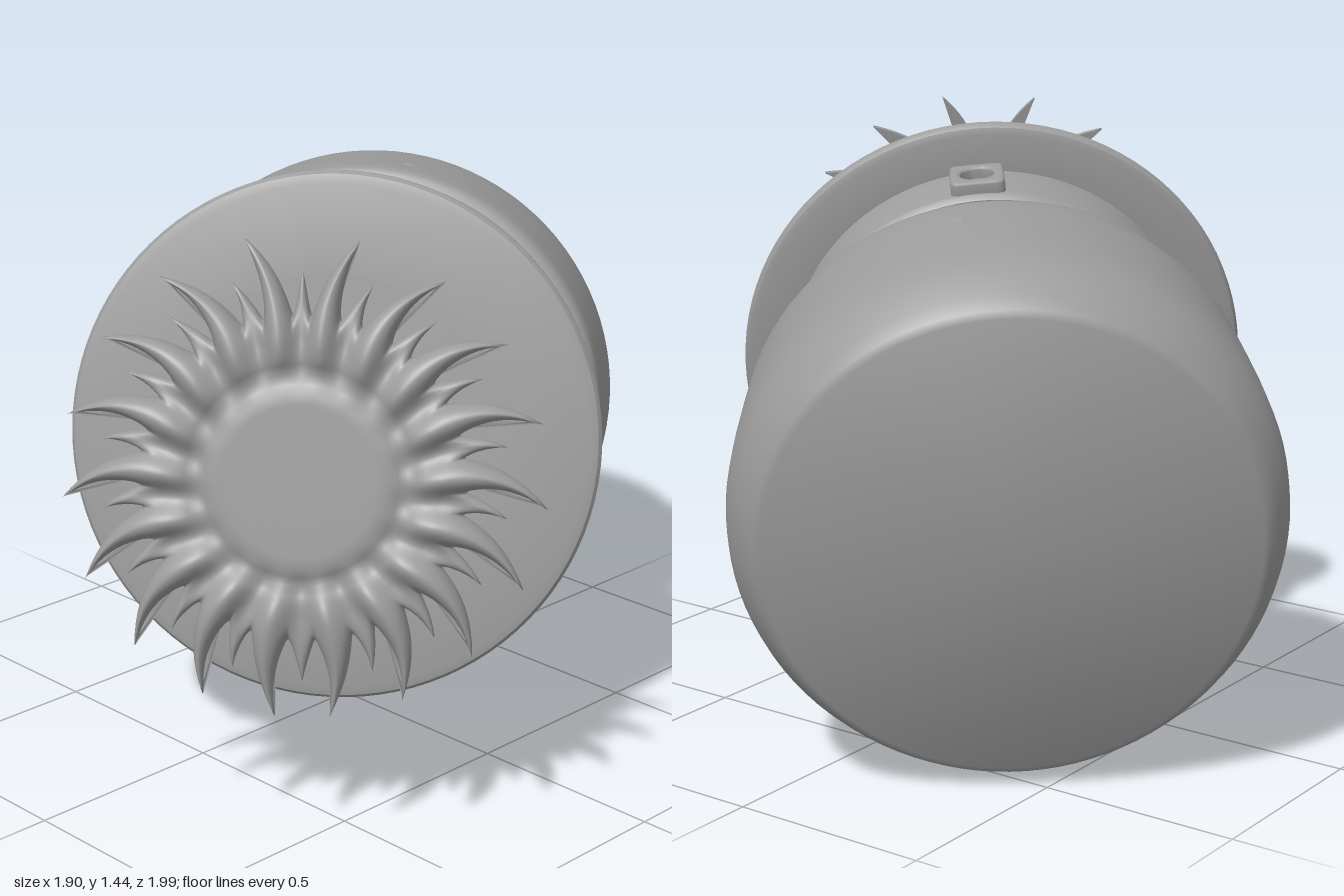
import * as THREE from 'three';
import { toCreasedNormals } from 'three/addons/utils/BufferGeometryUtils.js';

const DEG = Math.PI / 180;
const grey = new THREE.MeshStandardMaterial({ color: 0x9c9c9c });
grey.name = 'plain grey';

function mesh(name, geometry) {
  const m = new THREE.Mesh(geometry, grey);
  m.name = name;
  return m;
}

// Turned part about the local z axis, from [radius, z] points
function turned(name, profile) {
  const g = new THREE.LatheGeometry(profile.map(([r, z]) => new THREE.Vector2(r, z)), 96);
  g.rotateX(Math.PI / 2);
  return mesh(name, toCreasedNormals(g, 35 * DEG));
}

// Ring whose inner wall has three slots between two angles (degrees)
function slottedRing(name, front, back, slotFrom, slotTo) {
  const shape = new THREE.Shape();
  shape.absarc(0, 0, 0.6, 0, Math.PI * 2);
  const pts = [];
  for (let k = 0; k < 3; k++) {
    const arc = (from, to, r) => {
      for (let i = 0; i <= 24; i++) {
        const a = (from + (to - from) * i / 24 + 120 * k) * DEG;
        pts.push(new THREE.Vector2(r * Math.cos(a), r * Math.sin(a)));
      }
    };
    arc(slotFrom, slotTo, 0.588);
    arc(slotTo, slotFrom + 120, 0.545);
  }
  shape.holes.push(new THREE.Path(pts));
  const g = new THREE.ExtrudeGeometry(shape, { depth: front - back, bevelEnabled: false, curveSegments: 48 });
  g.translate(0, 0, back);
  return mesh(name, toCreasedNormals(g, 35 * DEG));
}

// Rounded square plate with a round dimple, facing outward on the lid collar
function latchPad() {
  const w = 0.06, c = 0.014;
  const s = new THREE.Shape();
  s.moveTo(-w + c, -w);
  s.lineTo(w - c, -w);
  s.quadraticCurveTo(w, -w, w, -w + c);
  s.lineTo(w, w - c);
  s.quadraticCurveTo(w, w, w - c, w);
  s.lineTo(-w + c, w);
  s.quadraticCurveTo(-w, w, -w, w - c);
  s.lineTo(-w, -w + c);
  s.quadraticCurveTo(-w, -w, -w + c, -w);
  const hole = new THREE.Path();
  hole.absarc(0, 0, 0.05, 0, Math.PI * 2, true);
  s.holes.push(hole);
  const g = new THREE.ExtrudeGeometry(s, {
    depth: 0.045, bevelThickness: 0.008, bevelSize: 0.008, bevelSegments: 3, curveSegments: 16 });
  g.rotateX(-Math.PI / 2);
  g.translate(0, 0.502, -0.125);
  return mesh('latchPad', toCreasedNormals(g, 40 * DEG));
}

// Sunburst: polar grid with a flame outline, raised centre and rippled rays
function sunburst() {
  const N = 720, inner = 14, outer = 16;
  const pos = [], idx = [];
  const smooth = THREE.MathUtils.smoothstep;
  const outline = (d) => { // d: degrees from the nearest long ray
    const isLong = d <= 6;
    const w = isLong ? d / 6 : (10 - d) / 4;
    return 0.36 + ((isLong ? 0.54 : 0.455) - 0.36) * Math.pow(1 - w, 1.45);
  };
  const addRing = (fn) => {
    for (let i = 0; i < N; i++) {
      const a = i * 360 / N;
      const m = a % 20, edge = outline(Math.min(m, 20 - m));
      const [rho, z] = fn(a, edge);
      // rays lean away from the vertical middle line, in a slight S
      const side = Math.tanh(4 * Math.cos(a * DEG));
      const q = Math.max(0, rho - 0.24) / 0.3;
      const lean = -side * (0.1 * q * q - 0.07 * Math.sin(q * Math.PI));
      const t = (a + 1) * DEG + lean;
      pos.push(rho * Math.cos(t), rho * Math.sin(t), z);
    }
  };
  const rows = inner + outer;
  for (let j = 0; j <= rows; j++) {
    addRing((a, edge) => {
      const rho = j <= inner ? Math.max(0.001, 0.3 * j / inner)
        : 0.3 + (edge - 0.3) * (j - inner) / outer;
      const ripple = Math.cos(18 * a * DEG) * smooth(rho, 0.2, 0.32);
      const groove = 0.022 * Math.exp(-Math.pow((rho - 0.235) / 0.022, 2));
      const fall = 1 - 0.5 * smooth(rho, 0.3, 0.54);
      const round = j <= inner ? 1 : Math.sqrt(1 - 0.85 * Math.pow((j - inner) / outer, 3));
      return [rho, (0.055 + 0.018 * ripple - groove) * fall * round];
    });
  }
  // side wall down to the back, then the flat back with its own vertices
  addRing((a, edge) => [edge, 0]);
  addRing((a, edge) => [edge, 0]);
  addRing(() => [0.3, 0]);
  addRing(() => [0.001, 0]);
  for (let j = 0; j < rows + 4; j++) {
    if (j === rows + 1) continue;
    for (let i = 0; i < N; i++) {
      const k = (i + 1) % N;
      const p = j * N + i, q = j * N + k, r = p + N, s = q + N;
      idx.push(p, r, q, q, r, s);
    }
  }
  const g = new THREE.BufferGeometry();
  g.setAttribute('position', new THREE.Float32BufferAttribute(pos, 3));
  g.setIndex(idx);
  g.computeVertexNormals();
  return mesh('sunburst', g);
}

export function createModel() {
  const model = new THREE.Group();
  model.name = 'explodedRoundBox';

  // Shared axis: local z points out of the lid
  const axis = new THREE.Group();
  axis.name = 'assembly';
  const n = new THREE.Vector3(0.61, 0.18, 0.77).normalize();
  const h = new THREE.Vector3(0, 1, 0).cross(n).normalize();
  axis.quaternion.setFromRotationMatrix(new THREE.Matrix4().makeBasis(h, n.clone().cross(h), n));
  axis.position.set(0.17, 0.815, 0.2);
  model.add(axis);

  // Container
  const body = new THREE.Group();
  body.name = 'container';
  body.add(turned('containerShell', [
    [0, -1.095], [0.565, -1.095], [0.582, -1.085], [0.603, -1.05], [0.628, -1.0], [0.642, -0.955],
    [0.648, -0.9], [0.645, -0.8], [0.634, -0.62], [0.628, -0.54], [0.622, -0.515], [0.612, -0.504],
    [0.598, -0.5], [0.598, -0.72], [0.545, -0.72], [0.545, -0.9], [0.535, -0.96], [0.51, -1.0],
    [0.47, -1.025], [0.42, -1.03], [0, -1.03]]));
  body.add(slottedRing('slottedLip', -0.5, -0.575, 87, 114));
  body.add(slottedRing('lockingChannel', -0.575, -0.721, 72, 114));
  for (let k = 0; k < 3; k++) {
    const a = (80 + 120 * k) * DEG;
    const bump = mesh('lockingBump', new THREE.SphereGeometry(0.045, 24, 16));
    bump.position.set(0.595 * Math.cos(a), 0.595 * Math.sin(a), -0.645);
    body.add(bump);
  }
  axis.add(body);

  // Lid with collar
  const lid = new THREE.Group();
  lid.name = 'lid';
  lid.add(turned('lidDisc', [
    [0, -0.04], [0.485, -0.04], [0.485, -0.2], [0.492, -0.21], [0.512, -0.21], [0.522, -0.2],
    [0.525, -0.19], [0.525, -0.034], [0.62, -0.03], [0.636, -0.024], [0.644, -0.012], [0.644, 0],
    [0.636, 0.011], [0.615, 0.017], [0.4, 0.02], [0, 0.021]]));
  for (let k = 0; k < 3; k++) {
    const pad = latchPad();
    pad.rotation.z = (-5 + 120 * k) * DEG;
    lid.add(pad);
  }
  axis.add(lid);

  // Ornament
  const sun = sunburst();
  sun.position.z = 0.56;
  axis.add(sun);

  // Centre the assembly and stand it on the ground
  const box = new THREE.Box3().setFromObject(model, true);
  const c = box.getCenter(new THREE.Vector3());
  axis.position.sub(new THREE.Vector3(c.x, box.min.y, c.z));
  return model;
}
